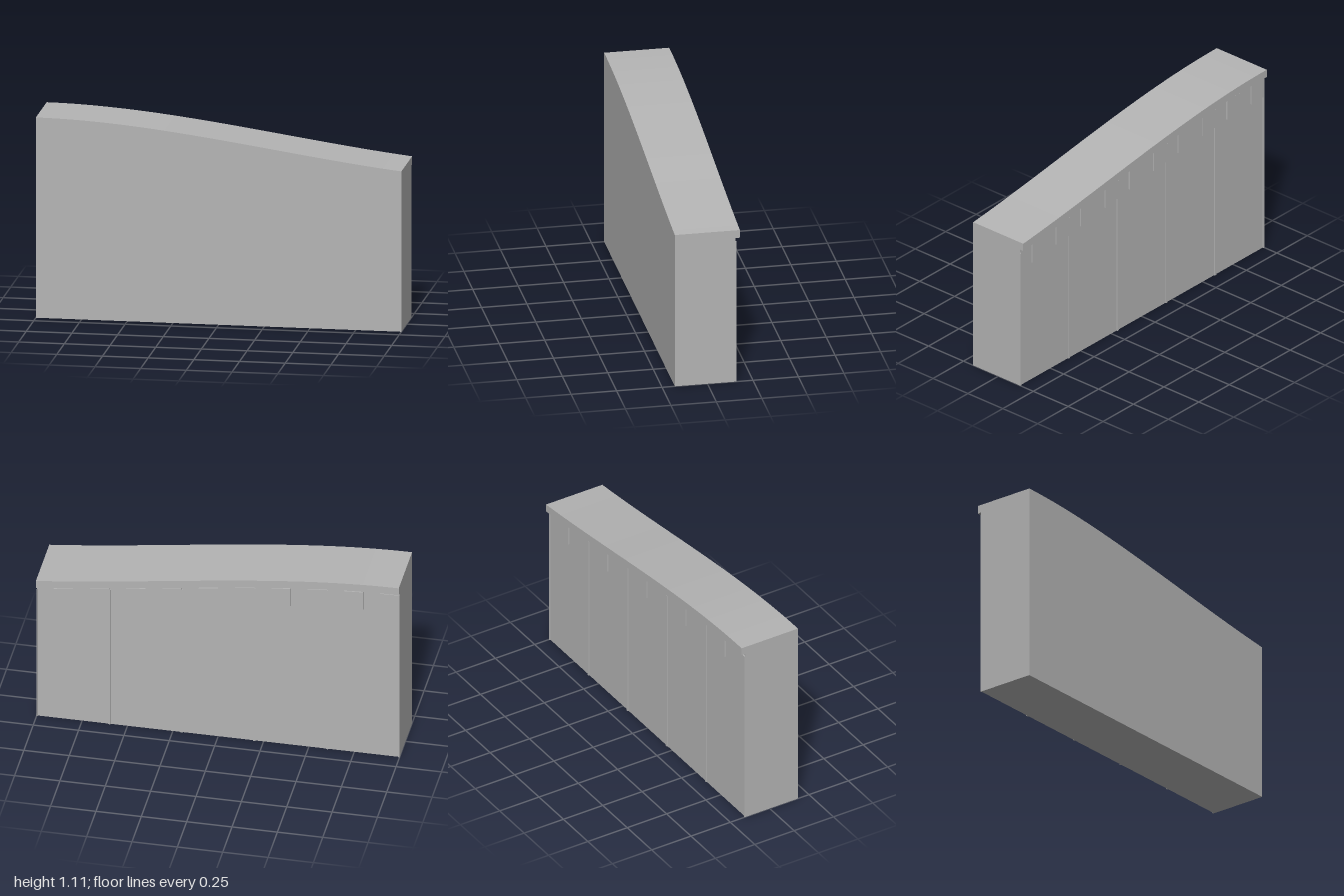
import * as THREE from 'three';

// Height of the sloping top along x
const topY = (x) => 1.027 - 0.1396 * x - 0.026 * x * x + 0.0286 * x * x * x;

// Sweeps a cross-section from x0 to x1. Points are [z, drop below the top],
// and a drop of null means the ground.
function sweep(points, x0, x1, steps) {
  const GROUND = -2;
  const shape = new THREE.Shape(
    points.map(([z, drop]) => new THREE.Vector2(-z, drop === null ? GROUND : -drop))
  );
  const geometry = new THREE.ExtrudeGeometry(shape, { depth: x1 - x0, steps, bevelEnabled: false });
  geometry.rotateY(Math.PI / 2).translate(x0, 0, 0);
  const p = geometry.attributes.position;
  for (let i = 0; i < p.count; i++) {
    const y = p.getY(i);
    p.setY(i, y < -1.5 ? 0 : topY(p.getX(i)) + y);
  }
  geometry.computeVertexNormals();
  return geometry;
}

// Rectangular cross-section between two depths
const rect = (zFront, zBack, top, bottom) => [
  [zFront, bottom], [zBack, bottom], [zBack, top], [zFront, top],
];

export function createModel() {
  const model = new THREE.Group();
  const stone = new THREE.MeshStandardMaterial({ color: 0xb4b4b4 });
  stone.name = 'grey stone';

  const add = (name, geometry) => {
    const mesh = new THREE.Mesh(geometry, stone);
    mesh.name = name;
    model.add(mesh);
  };

  const front = 0.18, panel = -0.154, rib = -0.16, lip = -0.178;

  // Wall with the overhanging lip along its back edge
  add('wall', sweep([
    [front, null], [panel, null], [panel, 0.045], [lip, 0.045], [lip, 0], [front, 0],
  ], -1, 1, 40));

  // Thin vertical ribs dividing the back into five panels
  for (let i = 0; i <= 5; i++) {
    const x = 1 - 0.4 * i;
    const x0 = Math.max(-1, x - 0.006), x1 = Math.min(1, x + 0.006);
    add('rib', sweep(rect(panel + 0.004, rib, 0.067, null), x0, x1, 1));
  }

  // Row of square blocks below the lip; every second one sits above a rib
  for (let i = 0; i < 10; i++) {
    const x = 0.8 - 0.2 * i;
    const back = i % 2 ? rib - 0.0005 : rib - 0.002;
    add('block', sweep(rect(panel + 0.004, back, 0.06, 0.175), x, x + 0.106, 2));
  }

  return model;
}
